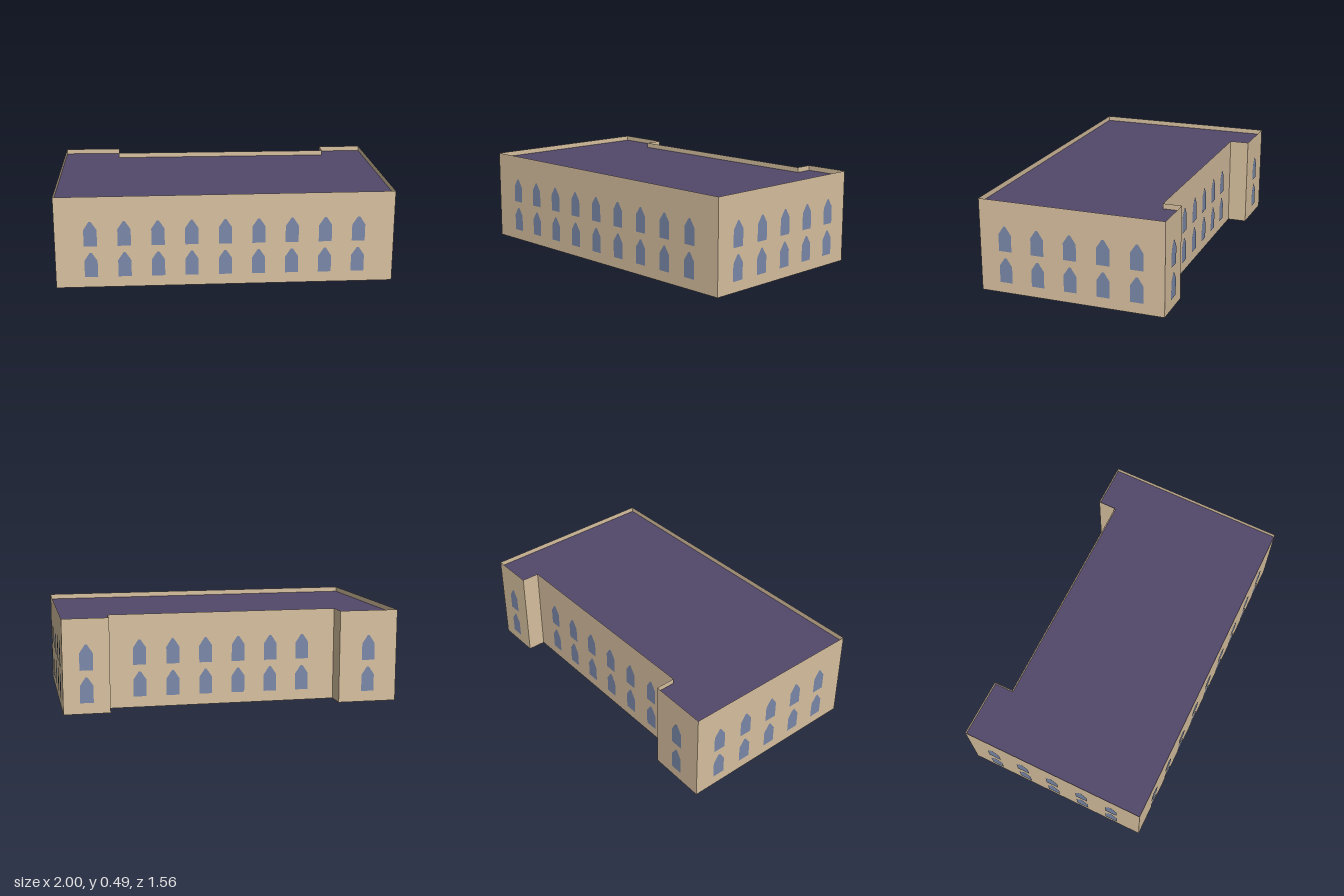
import * as THREE from 'three';

const HEIGHT = 0.487;
const ROOF_Y = 0.46;

// Corners of the floor plan [x, z], each followed by the windows of the wall
// that starts there: [column count, first column, column step] as fractions
const PLAN = [
  { name: 'frontWall', at: [-0.62, 0.78], windows: [9, 0.104, 0.0987] },
  { name: 'leftWall', at: [1.0, 0.115], windows: [5, 0.142, 0.1785] },
  { name: 'leftWingBackWall', at: [0.63, -0.783], windows: [1, 0.5, 0] },
  { name: 'leftWingReturn', at: [0.41, -0.695], windows: [0, 0, 0] },
  { name: 'backWall', at: [0.446, -0.606], windows: [6, 0.135, 0.1438] },
  { name: 'rightWingReturn', at: [-0.67, -0.164], windows: [0, 0, 0] },
  { name: 'rightWingBackWall', at: [-0.71, -0.26], windows: [1, 0.5, 0] },
  { name: 'rightWall', at: [-1.0, -0.15], windows: [5, 0.142, 0.1735] },
];

// Window pane with a pointed head, origin at the middle of its sill
function windowGeometry() {
  const w = 0.034, shoulder = 0.088, peak = 0.132, tip = 0.005;
  return new THREE.ShapeGeometry(new THREE.Shape([
    new THREE.Vector2(-w, 0),
    new THREE.Vector2(w, 0),
    new THREE.Vector2(w, shoulder),
    new THREE.Vector2(tip, peak),
    new THREE.Vector2(-tip, peak),
    new THREE.Vector2(-w, shoulder),
  ]));
}

export function createModel() {
  const model = new THREE.Group();
  model.name = 'building';

  const wallMat = new THREE.MeshStandardMaterial({ color: 0xd8c1a0, side: THREE.DoubleSide });
  wallMat.name = 'sandStone';
  const roofMat = new THREE.MeshStandardMaterial({ color: 0x52486a, side: THREE.DoubleSide });
  roofMat.name = 'purpleSlate';
  const glassMat = new THREE.MeshStandardMaterial({ color: 0x7b89aa });
  glassMat.name = 'blueGlass';

  const pane = windowGeometry();

  // Thin outer walls, local x along the wall and local z pointing outward
  PLAN.forEach(({ name, at: [x0, z0], windows: [count, first, step] }, i) => {
    const [x1, z1] = PLAN[(i + 1) % PLAN.length].at;
    const length = Math.hypot(x1 - x0, z1 - z0);
    const side = new THREE.Group();
    side.name = name;
    side.position.set(x0, 0, z0);
    side.rotation.y = Math.atan2(z0 - z1, x1 - x0);

    const wall = new THREE.Mesh(new THREE.PlaneGeometry(length, HEIGHT), wallMat);
    wall.name = name + 'Face';
    wall.position.set(length / 2, HEIGHT / 2, 0);
    side.add(wall);

    // Two storeys of windows
    for (const sill of [0.057, 0.224]) {
      for (let c = 0; c < count; c++) {
        const glass = new THREE.Mesh(pane, glassMat);
        glass.name = 'window';
        glass.position.set(length * (first + step * c), sill, 0.003);
        side.add(glass);
      }
    }
    model.add(side);
  });

  // Flat roof set just below the parapet
  const outline = new THREE.Shape(PLAN.map(({ at: [x, z] }) => new THREE.Vector2(x, -z)));
  const roof = new THREE.Mesh(new THREE.ShapeGeometry(outline), roofMat);
  roof.name = 'roof';
  roof.rotation.x = -Math.PI / 2;
  roof.position.y = ROOF_Y;
  model.add(roof);

  return model;
}
